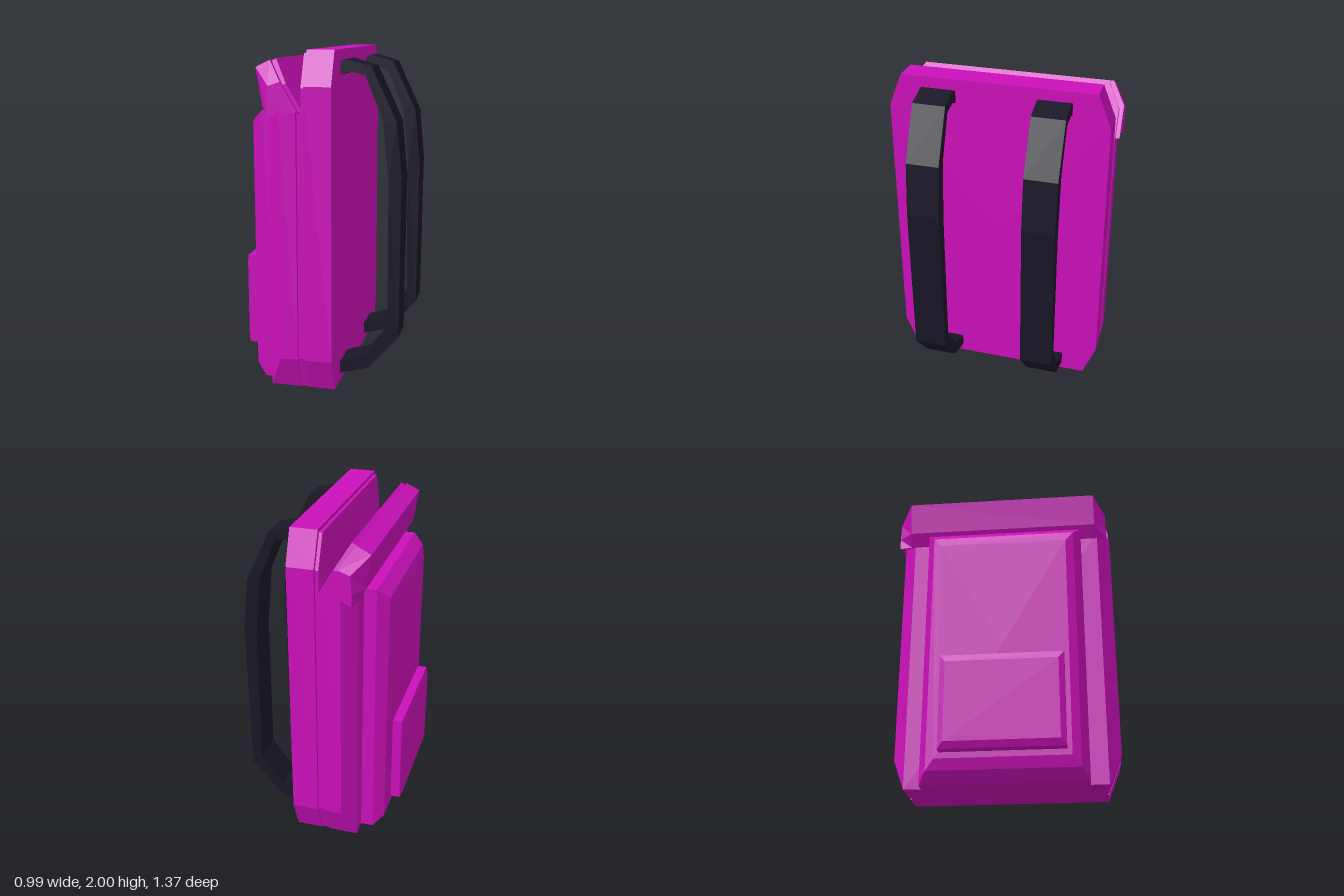
import * as THREE from 'three';

const fabric = new THREE.MeshStandardMaterial({ color: 0xcc10ba, flatShading: true });
const webbing = new THREE.MeshStandardMaterial({ color: 0x1a1626, flatShading: true });
const MID = 0.01; // z of the bag's middle

// Closed solid through equal-length rings of [x, y, z] points, capped at both ends
function loft(rings) {
  const tris = [];
  const n = rings[0].length;
  for (let r = 0; r < rings.length - 1; r++) {
    for (let i = 0; i < n; i++) {
      const j = (i + 1) % n;
      const a = rings[r][i], b = rings[r][j], c = rings[r + 1][j], d = rings[r + 1][i];
      tris.push([a, b, c], [a, c, d]);
    }
  }
  const cap = (ring, flip) => {
    const m = [0, 1, 2].map(k => ring.reduce((s, p) => s + p[k], 0) / n);
    ring.forEach((p, i) => {
      const q = ring[(i + 1) % n];
      tris.push(flip ? [m, q, p] : [m, p, q]);
    });
  };
  cap(rings[0], true);
  cap(rings[rings.length - 1], false);
  // turn the faces outward whichever way the rings run
  const v = p => new THREE.Vector3(...p);
  const volume = tris.reduce((s, [a, b, c]) => s + v(a).dot(v(b).cross(v(c))), 0);
  if (volume < 0) tris.forEach(t => t.reverse());
  const geo = new THREE.BufferGeometry();
  geo.setAttribute('position', new THREE.Float32BufferAttribute(tris.flat(2), 3));
  geo.computeVertexNormals();
  return geo;
}

// Ring across the bag at depth x, with optional corner cuts below and above
function ring(x, half, y0, y1, cutZ = 0, cutLow = 0, cutHigh = 0) {
  const low = cutLow ? half - cutZ : half;
  const high = cutHigh ? half - cutZ : half;
  return [
    [low, y0], [half, y0 + cutLow], [half, y1 - cutHigh], [high, y1],
    [-high, y1], [-half, y1 - cutHigh], [-half, y0 + cutLow], [-low, y0],
  ].map(([z, y]) => [x, y, z + MID]);
}

// Ring of an xy profile at one z
const slice = (z, profile) => profile.map(([x, y]) => [x, y, z]);

export function createModel() {
  const model = new THREE.Group();
  const add = (name, geo, mat = fabric) => {
    const mesh = new THREE.Mesh(geo, mat);
    mesh.name = name;
    model.add(mesh);
    return mesh;
  };

  // Back panel with cut corners, and the narrow seam in front of it
  add('backPanel', loft([
    ring(0.13, 0.67, 0, 2, 0.08, 0.2, 0.2),
    ring(-0.03, 0.67, 0, 2, 0.08, 0.2, 0.2),
  ]));
  add('panelSeam', loft([
    ring(-0.03, 0.65, 0.02, 1.98, 0.08, 0.19, 0.19),
    ring(-0.05, 0.65, 0.02, 1.98, 0.08, 0.19, 0.19),
  ]));
  add('bodySeam', loft([
    ring(-0.03, 0.65, 0, 1.645, 0.07, 0.2),
    ring(-0.08, 0.65, 0, 1.645, 0.07, 0.2),
  ]));

  // Main compartment, its sides sloping in towards the front
  add('mainCompartment', loft([
    ring(-0.075, 0.67, 0, 1.655, 0.08, 0.2),
    ring(-0.18, 0.67, 0, 1.655, 0.08, 0.2),
    ring(-0.26, 0.59, 0, 1.65),
  ]));

  // Large bevelled pocket and the small one on it
  add('frontPocket', loft([
    ring(-0.25, 0.485, 0, 1.645),
    ring(-0.335, 0.485, 0, 1.645),
    ring(-0.4, 0.44, 0.065, 1.585),
    ring(-0.42, 0.39, 0.13, 1.52),
  ]));
  add('smallPocket', loft([
    ring(-0.41, 0.362, 0.165, 0.735),
    ring(-0.478, 0.362, 0.165, 0.735),
    ring(-0.495, 0.33, 0.205, 0.69),
  ]));

  // Open top flap, leaning forward
  const wide = [[-0.07, 1.655], [-0.25, 1.942], [-0.335, 1.9], [-0.302, 1.7], [-0.26, 1.62], [-0.18, 1.655]];
  const end = [[-0.07, 1.655], [-0.17, 1.825], [-0.24, 1.8], [-0.25, 1.69], [-0.25, 1.62], [-0.18, 1.655]];
  add('topFlap', loft([
    slice(-0.685, end), slice(-0.605, wide), slice(0.585, wide), slice(0.66, end),
  ]));
  const lip = [[-0.045, 1.655], [-0.22, 1.95], [-0.245, 1.935], [-0.075, 1.655]];
  const lipEnd = [[-0.045, 1.655], [-0.14, 1.815], [-0.165, 1.8], [-0.075, 1.655]];
  add('flapSeam', loft([
    slice(-0.66, lipEnd), slice(-0.58, lip), slice(0.56, lip), slice(0.64, lipEnd),
  ]));

  // Shoulder straps
  const strap = new THREE.Shape([
    [0.11, 1.925], [0.165, 1.945], [0.31, 1.905], [0.46, 1.59], [0.492, 1.27], [0.485, 0.31], [0.305, 0.1], [0.11, 0.045],
    [0.11, 0.12], [0.285, 0.175], [0.42, 0.355], [0.415, 1.24], [0.38, 1.6], [0.275, 1.855], [0.185, 1.875], [0.11, 1.85],
  ].map(p => new THREE.Vector2(...p)));
  const strapGeo = new THREE.ExtrudeGeometry(strap, { depth: 0.2, bevelEnabled: false });
  [['leftStrap', 0.265], ['rightStrap', -0.435]].forEach(([name, z]) => {
    add(name, strapGeo, webbing).position.z = z;
  });

  return model;
}
